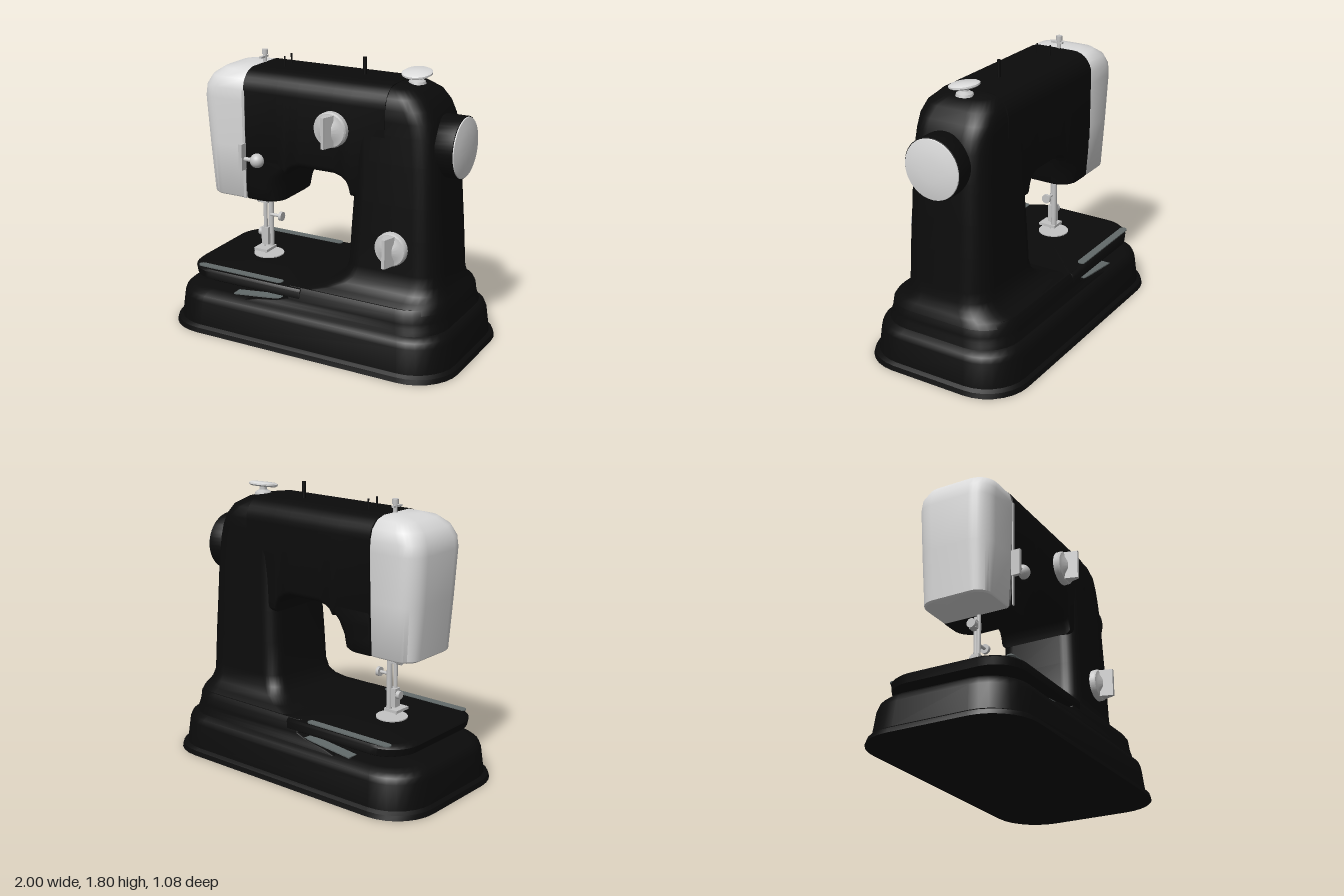
import * as THREE from 'three';
import { toCreasedNormals } from 'three/addons/utils/BufferGeometryUtils.js';

const mat = (name, color) => Object.assign(new THREE.MeshStandardMaterial({ color }), { name });

// Rounded rectangle ring in (u, w), with separate corner radii at the u-min and u-max ends.
function ring(u0, u1, hw, rMin, rMax, n = 7) {
  const pts = [];
  [[1, 1], [0, 1], [0, -1], [1, -1]].forEach(([hi, sw], q) => {
    const r = Math.min(hi ? rMax : rMin, hw, (u1 - u0) / 2);
    for (let i = 0; i <= n; i++) {
      const a = (q + i / n) * Math.PI / 2;
      pts.push([(hi ? u1 - r : u0 + r) + r * Math.cos(a), sw * (hw - r) + r * Math.sin(a)]);
    }
  });
  return pts;
}

// Skin through sections [t, u0, u1, halfWidth, rMin, rMax], stacked along y (u = x) or along x (u = y).
function loft(sections, axis = 'y') {
  const pos = [], idx = [];
  const flip = axis === 'x';
  const put = (t, u, w) => (flip ? pos.push(t, u, w) : pos.push(u, t, w));
  const tri = (a, b, c) => (flip ? idx.push(a, c, b) : idx.push(a, b, c));
  let n = 0;
  for (const [t, ...s] of sections) {
    const pts = ring(...s);
    n = pts.length;
    pts.forEach(([u, w]) => put(t, u, w));
  }
  const last = sections.length - 1;
  const mid = (s) => put(s[0], (s[1] + s[2]) / 2, 0);
  mid(sections[0]);
  mid(sections[last]);
  const c0 = n * (last + 1);
  for (let i = 0; i < n; i++) {
    const j = (i + 1) % n;
    for (let k = 0; k < last; k++) {
      const a = k * n, b = a + n;
      tri(a + i, b + i, a + j);
      tri(b + i, b + j, a + j);
    }
    tri(c0, i, j);
    tri(c0 + 1, last * n + j, last * n + i);
  }
  const g = new THREE.BufferGeometry();
  g.setAttribute('position', new THREE.Float32BufferAttribute(pos, 3));
  g.setIndex(idx);
  return toCreasedNormals(g, 0.7);
}

export function createModel() {
  const model = new THREE.Group();
  model.name = 'sewingMachine';
  const black = mat('blackEnamel', 0x0b0b0b);
  const ivory = mat('lightCover', 0xdadada);
  const steel = mat('steel', 0xc4c4c4);
  const grey = mat('slotGrey', 0x626a6a);

  const add = (name, geo, material, x = 0, y = 0, z = 0, parent = model) => {
    const m = new THREE.Mesh(geo, material);
    m.name = name;
    m.position.set(x, y, z);
    parent.add(m);
    return m;
  };
  const box = (w, h, d) => new THREE.BoxGeometry(w, h, d);
  const cyl = (r, h, r2 = r) => new THREE.CylinderGeometry(r2, r, h, 24);
  const lathe = (pts, seg = 40) => toCreasedNormals(
    new THREE.LatheGeometry(pts.map(p => new THREE.Vector2(...p)), seg), 0.6);

  // Base with a stepped foot and rounded shoulder
  add('base', loft([[0, 0], [0.03, 0.008], [0.045, 0.03], [0.2, 0.048], [0.235, 0.06], [0.258, 0.085], [0.27, 0.13]]
    .map(([y, d]) => [y, d - 1, 1 - d, 0.54 - d, 0.28 - d / 2, 0.28 - d / 2])), black);

  // Raised right half of the base, sloping in under the free bed
  add('bedBody', loft([
    [0.262, -0.4, 0.91, 0.45, 0.02, 0.24], [0.285, -0.32, 0.905, 0.445, 0.02, 0.24],
    [0.305, -0.18, 0.9, 0.44, 0.02, 0.24], [0.33, -0.1, 0.895, 0.435, 0.02, 0.24],
    [0.38, -0.1, 0.89, 0.43, 0.02, 0.24], [0.41, -0.1, 0.875, 0.41, 0.02, 0.23],
  ]), black);

  // Bed plate floating over the base
  add('bedPlate', loft([
    [0.33, -0.82, 0, 0.41, 0.18, 0.01], [0.345, -0.855, 0, 0.435, 0.2, 0.01],
    [0.39, -0.865, 0, 0.435, 0.2, 0.01], [0.405, -0.85, 0, 0.425, 0.2, 0.01],
    [0.41, -0.82, 0, 0.4, 0.18, 0.01],
  ]), black);

  // Column, flaring into the bed and closing into a dome at the top right
  add('column', loft([
    [0.38, -0.05, 0.89, 0.43, 0.05, 0.24], [0.412, 0.02, 0.88, 0.4, 0.06, 0.22],
    [0.43, 0.09, 0.872, 0.36, 0.08, 0.2], [0.465, 0.16, 0.858, 0.32, 0.1, 0.18],
    [0.51, 0.205, 0.846, 0.293, 0.1, 0.16], [0.58, 0.23, 0.84, 0.287, 0.1, 0.15],
    [0.8, 0.24, 0.825, 0.28, 0.1, 0.14], [1.0, 0.25, 0.81, 0.27, 0.1, 0.13],
    [1.25, 0.25, 0.797, 0.262, 0.1, 0.13], [1.42, 0.25, 0.78, 0.253, 0.1, 0.13],
    [1.5, 0.25, 0.76, 0.251, 0.1, 0.13], [1.57, 0.25, 0.728, 0.25, 0.1, 0.13],
    [1.635, 0.25, 0.68, 0.232, 0.1, 0.13], [1.682, 0.25, 0.6, 0.185, 0.1, 0.12],
    [1.697, 0.25, 0.5, 0.13, 0.05, 0.1],
  ]), black);

  // Horizontal arm with rounded top edges and arched underside
  add('arm', loft([
    [-0.5, 1.1], [-0.26, 1.1], [-0.21, 1.06], [-0.19, 1.09], [-0.16, 1.11], [-0.11, 1.125], [0.13, 1.125],
    [0.18, 1.11], [0.22, 1.08], [0.24, 1.04], [0.25, 1.0], [0.48, 1.0],
  ].map(([x, y]) => [x, y, 1.7, 0.254, 0.04, 0.13]), 'x'), black);

  // Lower head
  add('head', loft([
    [0.86, -0.5, -0.275, 0.225, 0.01, 0.12], [0.875, -0.5, -0.256, 0.238, 0.01, 0.13],
    [0.95, -0.5, -0.24, 0.243, 0.01, 0.13], [1.04, -0.5, -0.218, 0.25, 0.01, 0.1],
    [1.1, -0.5, -0.19, 0.253, 0.01, 0.06], [1.2, -0.5, -0.15, 0.253, 0.01, 0.05],
  ]), black);

  // Light face cover at the needle end
  add('faceCover', loft([
    [0.86, -0.775, 0.222, 0.09], [0.87, -0.787, 0.23, 0.1], [1.2, -0.815, 0.246, 0.12],
    [1.5, -0.832, 0.254, 0.12], [1.57, -0.822, 0.252, 0.12], [1.635, -0.785, 0.234, 0.12],
    [1.682, -0.715, 0.187, 0.1], [1.7, -0.63, 0.125, 0.08],
  ].map(([y, x, h, r]) => [y, x, -0.5, h, r, 0.01])), ivory);
  add('coverSeam', box(0.018, 0.7, 0.008), steel, -0.5, 1.22, 0.254);

  // Handwheel with pale domed cap
  const wheel = new THREE.Group();
  wheel.name = 'handwheel';
  wheel.position.set(0.74, 1.335, 0);
  wheel.rotation.z = -Math.PI / 2;
  model.add(wheel);
  add('wheelRim', lathe([[0, 0], [0.185, 0], [0.19, 0.01], [0.19, 0.142], [0.18, 0.147], [0, 0.147]], 48), black, 0, 0, 0, wheel);
  add('wheelCap', lathe([[0.186, 0.143], [0.183, 0.15], [0.13, 0.162], [0.07, 0.168], [0, 0.17]], 48), ivory, 0, 0, 0, wheel);

  // Two dials with a tapered grip ridge
  const grip = new THREE.Shape([[-0.035, 0], [0.035, 0], [0.014, 0.07], [0.01, 0.085], [-0.01, 0.085], [-0.014, 0.07]]
    .map(p => new THREE.Vector2(...p)));
  const dial = (name, x, y, z, r) => {
    const g = new THREE.Group();
    g.name = name;
    g.position.set(x, y, z);
    model.add(g);
    add('dialDisc', lathe([[0, -0.04], [r, -0.04], [r, 0.035], [r * 0.93, 0.046], [r * 0.65, 0.05],
      [r * 0.35, 0.068], [0, 0.075]]).rotateX(Math.PI / 2), steel, 0, 0, 0, g);
    add('dialGrip', new THREE.ExtrudeGeometry(grip, { depth: r * 1.75, bevelEnabled: false })
      .rotateX(Math.PI / 2), steel, 0, r * 0.875, 0.045, g);
  };
  dial('upperDial', 0.13, 1.41, 0.25, 0.11);
  dial('lowerDial', 0.555, 0.735, 0.275, 0.104);

  // Presser lever with ball end
  add('leverPlate', box(0.025, 0.17, 0.06), steel, -0.5, 1.15, 0.275);
  add('leverRod', cyl(0.014, 0.1).rotateZ(Math.PI / 2), steel, -0.445, 1.135, 0.27);
  add('leverBall', new THREE.SphereGeometry(0.046, 24, 16), steel, -0.4, 1.135, 0.265);

  // Tension knob on top, slightly tilted
  add('topKnobStem', lathe([[0.055, 0], [0.05, 0.015], [0.025, 0.03], [0.025, 0.06]], 24), steel, 0.56, 1.685, -0.01);
  const knob = add('topKnob', lathe([[0, 0], [0.08, 0], [0.093, 0.008], [0.093, 0.018], [0.08, 0.026], [0, 0.028]]),
    ivory, 0.56, 1.735, -0.01);
  knob.rotation.x = 0.16;

  // Spool pin, thread guides and take-up rod
  add('spoolPin', cyl(0.012, 0.13), black, 0.208, 1.74, -0.015);
  add('threadGuideBack', cyl(0.005, 0.09), black, -0.33, 1.72, -0.05);
  add('threadGuideFront', cyl(0.005, 0.09), black, -0.325, 1.72, 0.04);
  add('takeUpRod', cyl(0.013, 0.11), steel, -0.504, 1.725, -0.015);
  add('takeUpHead', cyl(0.02, 0.03), steel, -0.504, 1.765, -0.015);
  add('takeUpCross', box(0.02, 0.012, 0.08), steel, -0.504, 1.735, 0);

  // Needle bar, clamp, screw and presser foot
  add('presserBar', cyl(0.018, 0.42), steel, -0.476, 0.66, -0.01);
  add('needleBar', cyl(0.013, 0.3), steel, -0.5, 0.73, 0.02);
  add('clampBlock', box(0.06, 0.05, 0.05), steel, -0.51, 0.79, 0);
  add('clampKnob', cyl(0.03, 0.035).rotateZ(Math.PI / 2), steel, -0.543, 0.79, 0);
  add('screwShaft', cyl(0.01, 0.09).rotateZ(Math.PI / 2), steel, -0.43, 0.685, 0);
  add('screwKnob', cyl(0.03, 0.02).rotateZ(Math.PI / 2), steel, -0.39, 0.685, 0);
  add('footBlock', box(0.05, 0.12, 0.05), steel, -0.5, 0.54, 0.01);
  add('footScrew', cyl(0.025, 0.03).rotateZ(Math.PI / 2), steel, -0.535, 0.56, 0.01);
  add('presserFoot', box(0.1, 0.018, 0.12), steel, -0.5, 0.458, 0.03);
  add('needle', cyl(0.005, 0.14), steel, -0.5, 0.47, 0.03);
  add('needlePlate', cyl(0.1, 0.008), steel, -0.49, 0.413, 0);

  // Grey slots along both long edges of the bed and under it
  for (const [side, z] of [['front', 0.385], ['back', -0.395]]) {
    add(side + 'BedSlot', loft([[0, -0.78, -0.15, 0.025, 0.025, 0.025], [0.007, -0.78, -0.15, 0.025, 0.025, 0.025]]),
      grey, 0, 0.408, z);
    const wedge = add(side + 'LowerSlot', box(0.38, 0.008, 0.07), grey, -0.31, 0.293, z);
    wedge.rotation.z = 0.11;
  }
  return model;
}
